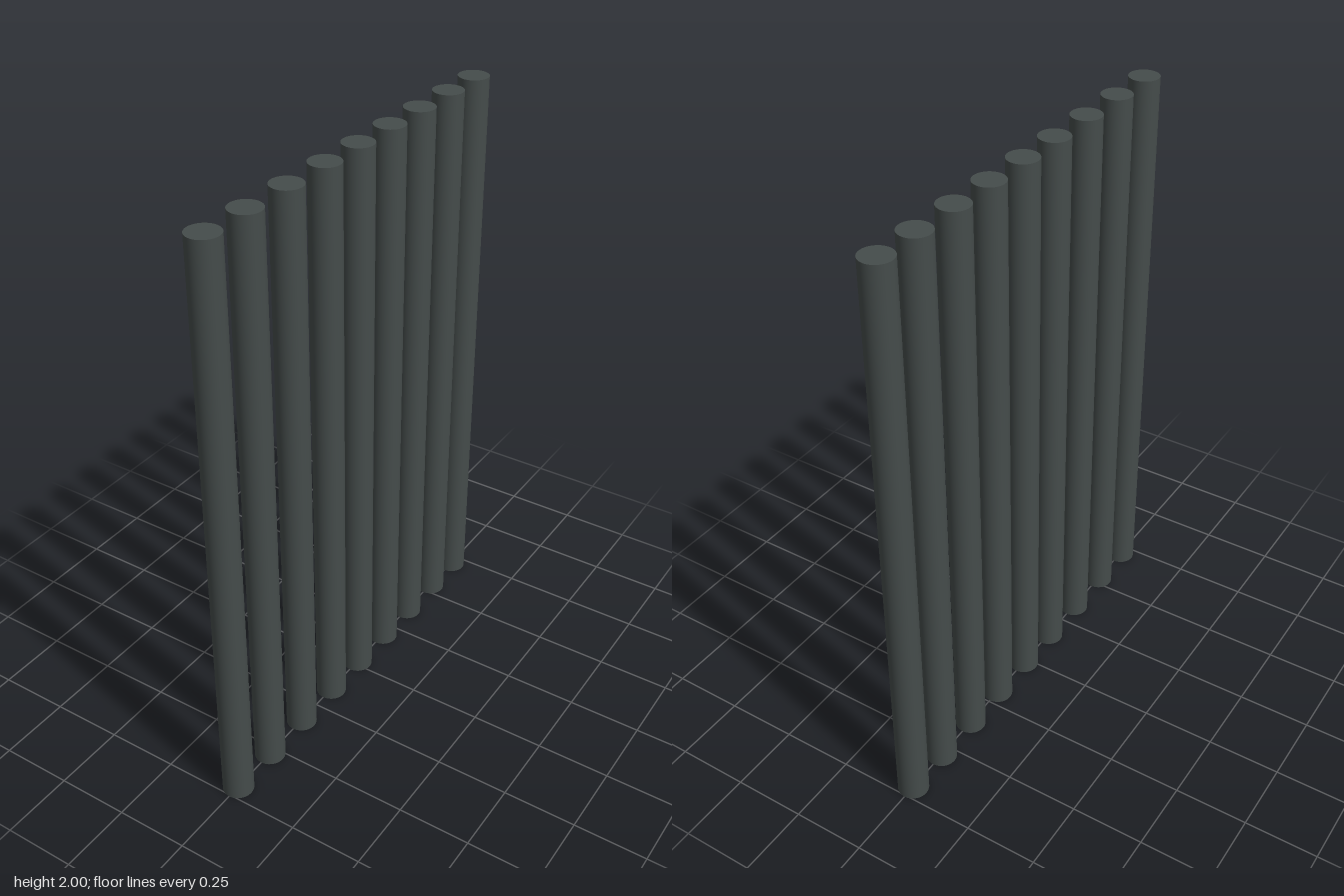
import * as THREE from 'three';

export function createModel() {
  const model = new THREE.Group();
  model.name = 'barRow';

  const material = new THREE.MeshStandardMaterial({ color: 0x454c4b });
  const radius = 0.052;
  const height = 2;
  const barGeometry = new THREE.CylinderGeometry(radius, radius, height, 48);

  // Upright bars in one row, slightly unevenly spaced from back to front
  const positions = [-0.704, -0.54, -0.364, -0.192, -0.018, 0.154, 0.339, 0.526, 0.704];
  positions.forEach((z, i) => {
    const bar = new THREE.Mesh(barGeometry, material);
    bar.name = `bar${i + 1}`;
    bar.position.set(0, height / 2, z);
    model.add(bar);
  });

  return model;
}
